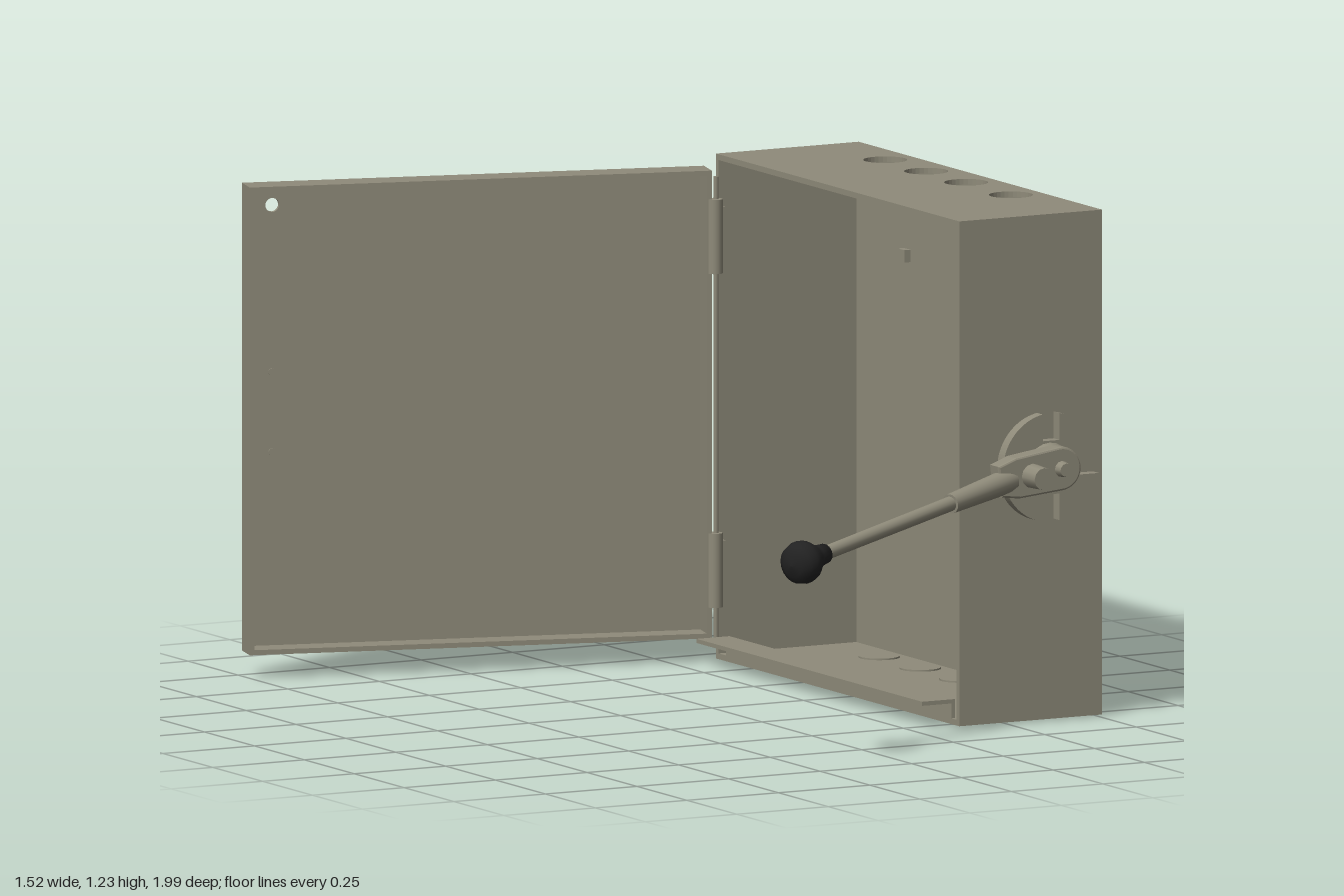
import * as THREE from 'three';

export function createModel() {
  const root = new THREE.Group();
  root.name = 'switchBox';
  const metal = new THREE.MeshStandardMaterial({ color: 0x8f8b7a });
  metal.name = 'grey painted metal';
  const black = new THREE.MeshStandardMaterial({ color: 0x222222 });
  black.name = 'black plastic';

  const add = (name, geo, parent = root, mat = metal) => {
    const m = new THREE.Mesh(geo, mat);
    m.name = name;
    parent.add(m);
    return m;
  };
  // box given by its minimum and maximum corners
  const box = (name, a, b, parent) => {
    const m = add(name, new THREE.BoxGeometry(b[0] - a[0], b[1] - a[1], b[2] - a[2]), parent);
    m.position.set((a[0] + b[0]) / 2, (a[1] + b[1]) / 2, (a[2] + b[2]) / 2);
    return m;
  };
  // rectangular plate with round holes [x, y, r]
  const plate = (x0, y0, x1, y1, depth, holes) => {
    const s = new THREE.Shape();
    s.moveTo(x0, y0).lineTo(x1, y0).lineTo(x1, y1).lineTo(x0, y1).closePath();
    for (const [x, y, r] of holes) s.holes.push(new THREE.Path().absarc(x, y, r, 0, Math.PI * 2, true));
    return new THREE.ExtrudeGeometry(s, { depth, bevelEnabled: false, curveSegments: 16 });
  };
  // rod or bolt between two points
  const rod = (name, a, b, r0, r1, sides = 16) => {
    const p = new THREE.Vector3(...a), q = new THREE.Vector3(...b), d = q.clone().sub(p);
    const m = add(name, new THREE.CylinderGeometry(r1, r0, d.length(), sides));
    m.position.copy(p).add(q).multiplyScalar(0.5);
    m.quaternion.setFromUnitVectors(new THREE.Vector3(0, 1, 0), d.normalize());
    return m;
  };

  // Case, open on the -x side
  const t = 0.014, X0 = 0.37, X1 = 0.76, Z0 = -0.66, Z1 = 0.56, H = 1.23;
  box('sideWall', [X1 - t, 0.005, Z0], [X1, H, Z1]);
  box('frontWall', [X0, 0.005, Z1 - t], [X1 - t, H, Z1]);
  box('backWall', [X0, 0.005, Z0], [X1 - t, H, Z0 + t]);
  box('floor', [X0, 0.005, Z0 + t], [X1 - t, 0.005 + t, Z1 - t]);
  const holeZ = [-0.38, -0.175, 0.025, 0.25];
  const top = add('topWall', plate(X0, -Z1 + t, X1 - t, -Z0 - t, t, holeZ.map(z => [0.68, -z, 0.053])));
  top.rotation.x = -Math.PI / 2;
  top.position.y = H - t;
  for (const z of holeZ) {
    const k = add('floorKnockout', new THREE.CylinderGeometry(0.05, 0.05, 0.022, 24));
    k.position.set(0.68, 0.012, z - 0.03);
  }
  box('bottomLip', [0.29, 0.055, -0.61], [X0 + 0.01, 0.065, 0.52]);
  box('lipBracket', [X0, 0.005, -0.61], [X0 + 0.01, 0.065, 0.52]);
  box('latchStud', [0.27, 1.125, 0.435], [0.287, 1.155, 0.468]);

  // Stud and nut on the back wall
  rod('backNut', [0.6, 0.62, -0.655], [0.6, 0.62, -0.673], 0.034, 0.03, 12);
  rod('backStud', [0.6, 0.62, -0.67], [0.6, 0.62, -0.686], 0.017, 0.015, 12);

  // Door: shallow pan swung open on its hinge
  const door = new THREE.Group();
  door.name = 'door';
  door.position.set(0.362, 0, -0.705);
  door.rotation.y = -Math.PI / 12;
  root.add(door);
  const L = 1.14, D = 0.08, y0 = 0.06, y1 = 1.195, w = 0.012;
  add('doorPanel', plate(-L, y0, 0, y1, w, [[-1.068, 1.14, 0.017]]), door);
  box('doorFreeFlange', [-L, y0, w], [-L + w, y1, D], door);
  box('doorHingeFlange', [-w, y0, w], [0, y1, D], door);
  box('doorTopFlange', [-L + w, y1 - w, w], [-w, y1, D], door);
  box('doorBottomFlange', [-L + w, y0, w], [-w, y0 + w, D], door);
  for (const y of [0.54, 0.735]) {
    const r = add('doorRivet', new THREE.CylinderGeometry(0.01, 0.01, w + 0.006, 10), door);
    r.rotation.x = Math.PI / 2;
    r.position.set(-1.068, y, w / 2);
  }

  // Hinges
  for (const y of [0.225, 1.035]) {
    rod('hingeKnuckle', [0.352, y - 0.09, -0.632], [0.352, y + 0.09, -0.632], 0.019, 0.019);
    box('hingeLeaf', [0.352, y - 0.07, -0.64], [0.38, y + 0.07, -0.628]);
  }
  rod('hingePin', [0.355, 0.06, -0.632], [0.355, 1.18, -0.632], 0.006, 0.006, 8);

  // Slotted discs on both faces of the front wall
  const slotted = new THREE.Shape();
  const R = 0.132, inner = 0.065, half = 0.023, gap = Math.asin(half / R);
  for (let k = 0; k < 4; k++) {
    const a = k * Math.PI / 2, b = a + Math.PI / 2;
    slotted.absarc(0, 0, R, a + gap, b - gap, false);
    for (const s of [1, -1]) {
      slotted.lineTo(Math.cos(b) * inner + s * Math.sin(b) * half, Math.sin(b) * inner - s * Math.cos(b) * half);
    }
  }
  slotted.closePath();
  for (const z of [Z1, Z1 - t - 0.03]) {
    const d = add('slottedDisc', new THREE.ExtrudeGeometry(slotted, { depth: 0.03, bevelEnabled: false, curveSegments: 10 }));
    d.position.set(0.605, 0.62, z);
  }
  rod('innerNut', [0.605, 0.62, 0.52], [0.605, 0.62, 0.485], 0.045, 0.04, 6);
  rod('hub', [0.6, 0.62, 0.585], [0.6, 0.62, 0.61], 0.062, 0.055, 20);

  // Lever clamp with its two bolts
  const clamp = new THREE.Shape();
  clamp.absarc(0, 0, 0.048, -Math.PI / 2, Math.PI / 2, false);
  clamp.lineTo(-0.12, 0.045).lineTo(-0.165, 0.034).lineTo(-0.165, -0.034).lineTo(-0.12, -0.045).closePath();
  const lever = add('leverClamp', new THREE.ExtrudeGeometry(clamp, {
    depth: 0.037, bevelSize: 0.005, bevelThickness: 0.006, bevelSegments: 2, curveSegments: 10
  }));
  lever.position.set(0.6, 0.625, 0.61);
  lever.rotation.z = 0.12;
  rod('pivotBolt', [0.6, 0.625, 0.65], [0.6, 0.625, 0.675], 0.02, 0.016, 12);
  rod('clampBolt', [0.52, 0.614, 0.65], [0.52, 0.614, 0.712], 0.03, 0.027, 12);

  // Handle: ferrule, rod and knob
  rod('ferrule', [0.47, 0.604, 0.628], [0.26, 0.574, 0.717], 0.03, 0.024);
  rod('handleRod', [0.28, 0.577, 0.708], [-0.21, 0.508, 0.914], 0.018, 0.017);
  const profile = [[0, 0], [0.024, 0], [0.027, 0.03], [0.036, 0.05], [0.05, 0.072], [0.053, 0.09],
    [0.047, 0.112], [0.028, 0.126], [0, 0.13]].map(([x, y]) => new THREE.Vector2(x, y));
  const knob = add('handleKnob', new THREE.LatheGeometry(profile, 20), root, black);
  knob.position.set(-0.185, 0.512, 0.904);
  knob.quaternion.setFromUnitVectors(new THREE.Vector3(0, 1, 0), new THREE.Vector3(-0.49, -0.069, 0.206).normalize());

  return root;
}
